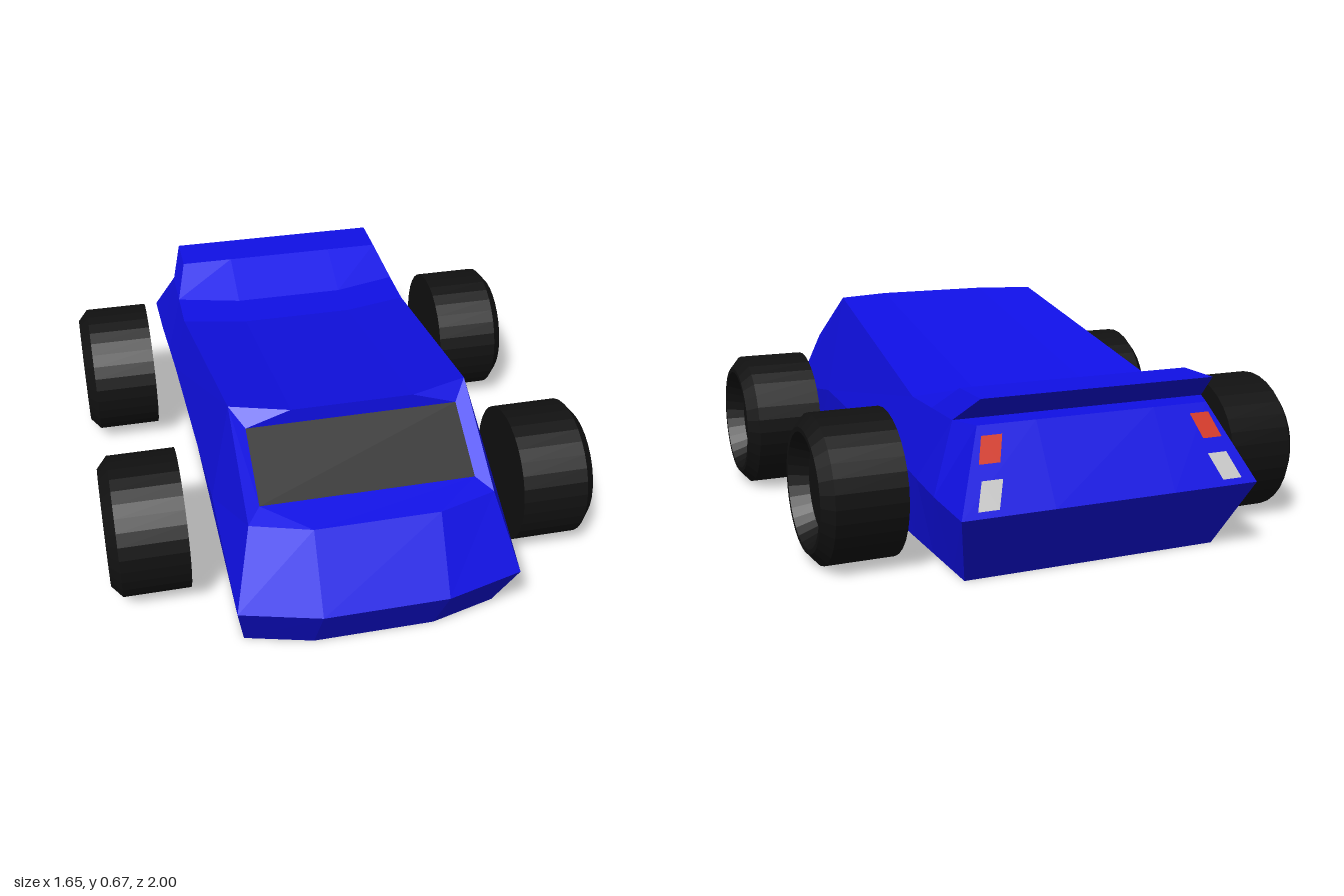
import * as THREE from 'three';

const paint = (color) => new THREE.MeshStandardMaterial({ color, flatShading: true });

// Mesh from convex polygons, each given as corner points in counter-clockwise order
function polyMesh(name, polys, material) {
  const pos = [];
  for (const p of polys)
    for (let i = 1; i < p.length - 1; i++) pos.push(...p[0], ...p[i], ...p[i + 1]);
  const g = new THREE.BufferGeometry();
  g.setAttribute('position', new THREE.Float32BufferAttribute(pos, 3));
  g.computeVertexNormals();
  const m = new THREE.Mesh(g, material);
  m.name = name;
  return m;
}

// Crosswise row of four points; the middle pair sits further forward by bow
const row = (x, y, z, bow = 0) => [[-x, y, z - bow], [-0.2, y, z], [0.2, y, z], [x, y, z - bow]];

const mirror = (poly) => poly.map(([x, y, z]) => [-x, y, z]).reverse();

function loft(rows) {
  const out = [];
  for (let k = 0; k < rows.length - 1; k++)
    for (let i = 0; i < 3; i++)
      out.push([rows[k][i], rows[k][i + 1], rows[k + 1][i + 1], rows[k + 1][i]]);
  return out;
}

export function createModel() {
  const car = new THREE.Group();
  car.name = 'car';
  const blue = paint(0x1010e6), black = paint(0x111111), red = paint(0xd83a28), grey = paint(0xcccccc);

  // Crosswise rows of the body
  const bottomFront = row(0.42, 0, 0.86, 0.06);
  const noseMid = row(0.453, 0.235, 1.0, 0.07);
  const noseTop = row(0.39, 0.47, 0.86, 0.06);
  const roof = row(0.39, 0.67, 0.51, 0.06);
  const tailStart = row(0.43, 0.47, -0.38, 0.05);
  const wingStart = row(0.43, 0.47, -0.54, 0.06);
  const wingTop = row(0.39, 0.555, -0.73);
  const wingTip = row(0.39, 0.555, -0.89);
  const deckFront = row(0.43, 0.47, -0.77);
  const deckRear = row(0.39, 0.47, -0.86);
  const tailMid = row(0.495, 0.235, -1.0);
  const bottomRear = row(0.43, 0, -0.86);

  // Window corners, slightly sunk in its frame
  const [p0, p1, p2, p3] = [[-0.345, 0.49, 0.74], [0.345, 0.49, 0.74], [0.345, 0.62, 0.51], [-0.345, 0.62, 0.51]];
  const n = noseTop, r = roof;
  const frame = [
    [n[0], n[1], p0], [n[1], n[2], p1, p0], [n[2], n[3], p1],
    [n[3], r[3], p2, p1], [r[0], n[0], p0, p3],
    [p3, r[1], r[0]], [p3, p2, r[2], r[1]], [p2, r[3], r[2]],
  ];

  // Flanks: upper edge, raised waistline and sill, front to back
  const upper = [n, r, tailStart, wingStart, deckFront, deckRear].map((a) => a[3]);
  const waist = [noseMid[3], [0.458, 0.315, 0.45], [0.478, 0.265, -0.43], [0.483, 0.25, -0.6], [0.49, 0.24, -0.77], tailMid[3]];
  const sill = [bottomFront[3], [0.425, 0, 0.45], [0.43, 0, -0.43], [0.43, 0, -0.6], [0.43, 0, -0.77], bottomRear[3]];
  const flank = [[wingStart[3], deckFront[3], wingTip[3], wingTop[3]]];
  for (let k = 0; k < upper.length - 1; k++) {
    flank.push([waist[k], waist[k + 1], upper[k + 1], upper[k]]);
    flank.push([sill[k], sill[k + 1], waist[k + 1], waist[k]]);
  }

  car.add(polyMesh('body', [
    ...loft([bottomFront, noseMid, noseTop]),
    ...frame,
    ...loft([roof, tailStart, wingStart, wingTop, wingTip, deckFront, deckRear, tailMid, bottomRear, bottomFront]),
    ...flank, ...flank.map(mirror),
  ], blue));
  car.add(polyMesh('windscreen', [[p0, p1, p2, p3]], black));

  // Tail lights lying on the sloping rear face
  const onTail = (x, z) => [x, 0.235 + (1 + z) * 1.679 + 0.002, z - 0.003];
  const lamp = (z0, z1, x0, x1) =>
    [onTail(x0, z0), onTail(x1, z1), onTail(x1 + 0.067, z1), onTail(x0 + 0.067, z0)];
  const lamps = [
    ['reverseLight', lamp(-0.99, -0.945, 0.375, 0.345), grey],
    ['brakeLight', lamp(-0.92, -0.877, 0.343, 0.318), red],
  ];
  for (const [name, poly, mat] of lamps) {
    car.add(polyMesh(name + 'Left', [poly], mat));
    car.add(polyMesh(name + 'Right', [mirror(poly)], mat));
  }

  // Wheels: chamfered outer shoulder and a dished hub
  const profile = [[0, 0], [0.235, 0], [0.235, 0.225], [0.195, 0.26], [0.18, 0.26], [0.15, 0.2], [0, 0.2]]
    .map(([x, y]) => new THREE.Vector2(x, y));
  const tyre = new THREE.LatheGeometry(profile, 32);
  for (const side of [1, -1])
    for (const [name, z, x] of [['front', 0.435, 0.56], ['rear', -0.535, 0.565]]) {
      const w = new THREE.Mesh(tyre, black);
      w.name = name + 'Wheel' + (side > 0 ? 'Left' : 'Right');
      w.rotation.z = -side * Math.PI / 2;
      w.position.set(side * x, 0.235, z);
      car.add(w);
    }
  return car;
}
